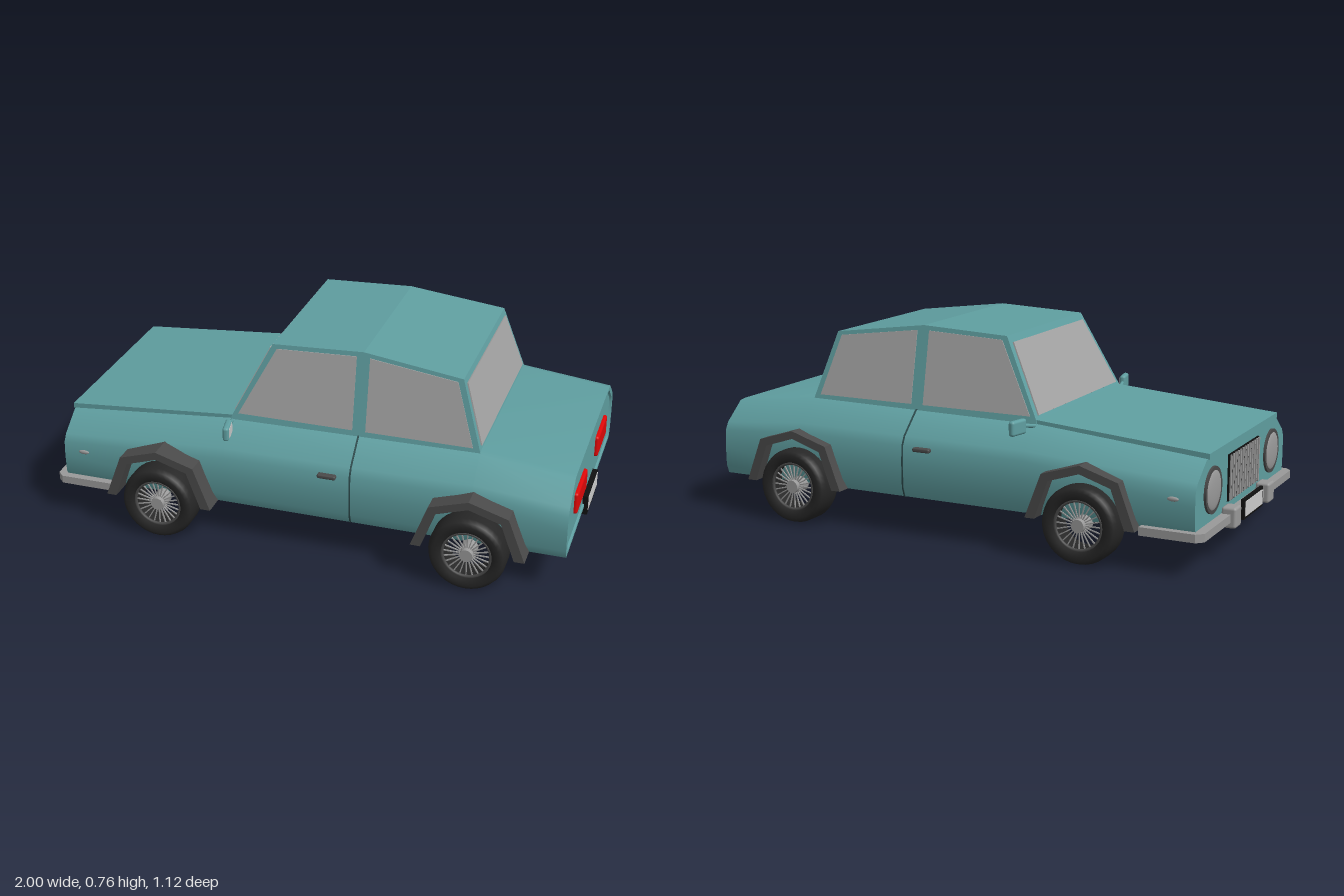
import * as THREE from 'three';
import { toCreasedNormals } from 'three/addons/utils/BufferGeometryUtils.js';
import { RoundedBoxGeometry } from 'three/addons/geometries/RoundedBoxGeometry.js';

const mat = (color) => new THREE.MeshStandardMaterial({ color });
const paint = mat(0x5f9ea0), seamPaint = mat(0x2c4a4c), glass = mat(0xa3a3a3), chrome = mat(0x999999);
const trim = mat(0x4a4a4a), rubber = mat(0x262626), black = mat(0x111111), red = mat(0xdd0808), pale = mat(0xcccccc);

function add(parent, name, geometry, material, x = 0, y = 0, z = 0) {
  const mesh = new THREE.Mesh(geometry, material);
  mesh.name = name;
  mesh.position.set(x, y, z);
  parent.add(mesh);
  return mesh;
}
const box = (w, h, d) => new THREE.BoxGeometry(w, h, d);
const shapeOf = (pts) => new THREE.Shape(pts.map(([x, y]) => new THREE.Vector2(x, y)));

// Half cross-section of the lower body: [half width, height fraction]
const FLOOR = 0.145;
const HALF = [[0.475, 0], [0.488, 0.12], [0.49, 0.4], [0.487, 0.62], [0.47, 0.73], [0.385, 0.985], [0.36, 1]];
const SECTION = [...HALF, ...HALF.slice().reverse().map(([w, t]) => [-w, t])];

// Loft the section through stations [x, top height, scale] and cap both ends
function loft(stations) {
  const n = SECTION.length, pos = [], idx = [];
  for (const [x, top, s] of stations) {
    const mid = (FLOOR + top) / 2;
    for (const [w, t] of SECTION) {
      const y = FLOOR + t * (top - FLOOR);
      pos.push(x, mid + (y - mid) * s, w * (1 - (1 - s) * 0.7));
    }
  }
  for (let i = 0; i < stations.length - 1; i++)
    for (let j = 0; j < n; j++) {
      const a = i * n + j, b = i * n + (j + 1) % n;
      idx.push(a, a + n, b, b, a + n, b + n);
    }
  const last = stations.length - 1;
  for (const i of [0, last]) {
    const c = pos.length / 3;
    pos.push(stations[i][0], (FLOOR + stations[i][1]) / 2, 0);
    for (let j = 0; j < n; j++) {
      const a = i * n + j, b = i * n + (j + 1) % n;
      idx.push(c, ...(i === 0 ? [a, b] : [b, a]));
    }
  }
  const g = new THREE.BufferGeometry();
  g.setAttribute('position', new THREE.Float32BufferAttribute(pos, 3));
  g.setIndex(idx);
  return toCreasedNormals(g, 0.65);
}

// Side profile spread across the car, with sides leaning inwards as they rise
function cabinSlab(pts, grow) {
  const g = new THREE.ExtrudeGeometry(shapeOf(pts), { depth: 1, bevelEnabled: false });
  const p = g.attributes.position;
  for (let i = 0; i < p.count; i++) {
    const h = 0.38 - 0.2 * (p.getY(i) - 0.455) + grow;
    p.setZ(i, p.getZ(i) > 0.5 ? h : -h);
  }
  g.computeVertexNormals();
  return g;
}

// Thin pane lying just outside the line from a to b
function pane([ax, ay], [bx, by]) {
  const d = Math.hypot(bx - ax, by - ay), nx = -(by - ay) / d * 0.005, ny = (bx - ax) / d * 0.005;
  return cabinSlab([[ax, ay], [bx, by], [bx + nx, by + ny], [ax + nx, ay + ny]], -0.024);
}

function makeWheel() {
  const wheel = new THREE.Group();
  wheel.name = 'wheel';
  const profile = [[0.09, -0.045], [0.098, -0.056], [0.122, -0.06], [0.135, -0.052], [0.142, -0.032], [0.142, 0.032],
    [0.135, 0.052], [0.122, 0.06], [0.098, 0.056], [0.09, 0.045], [0.09, -0.045]];
  const tyre = new THREE.LatheGeometry(profile.map(([r, y]) => new THREE.Vector2(r, y)), 36);
  add(wheel, 'tyre', tyre.rotateX(Math.PI / 2), rubber);
  add(wheel, 'rim', new THREE.TorusGeometry(0.089, 0.006, 8, 36), trim, 0, 0, 0.044);
  for (let i = 0; i < 24; i++) {
    const spoke = add(wheel, 'spoke', box(0.066, 0.004, 0.005).translate(0.055, 0, 0), chrome, 0, 0, 0.035);
    spoke.rotation.z = i * Math.PI / 12;
  }
  add(wheel, 'hub', new THREE.CylinderGeometry(0.024, 0.03, 0.07, 20).rotateX(Math.PI / 2), chrome, 0, 0, 0.018);
  return wheel;
}

export function createModel() {
  const car = new THREE.Group();
  car.name = 'car';
  const shell = new THREE.Group();
  shell.name = 'shell';
  shell.position.z = -0.013;
  car.add(shell);

  // Lower body with a recessed tail panel, hood lid and door seam
  add(shell, 'lowerBody', loft([[-0.945, 0.392, 1], [-0.3, 0.45, 1], [0.64, 0.46, 1], [0.985, 0.42, 1],
    [0.985, 0.42, 0.92], [0.977, 0.42, 0.9]]), paint);
  const lid = shapeOf([[-0.952, 0.388], [-0.3, 0.44], [-0.3, 0.461], [-0.952, 0.408]]);
  add(shell, 'hood', new THREE.ExtrudeGeometry(lid, { depth: 0.752, bevelEnabled: false }).translate(0, 0, -0.376), paint);
  add(shell, 'doorSeam', loft([[0.187, 0.457, 1.006], [0.193, 0.457, 1.006]]), seamPaint);

  // Cabin and glass
  add(shell, 'cabin', cabinSlab([[-0.305, 0.44], [0.645, 0.44], [0.64, 0.46], [0.56, 0.712], [0.19, 0.76],
    [-0.155, 0.745], [-0.3, 0.46]], 0), paint);
  add(shell, 'frontSideWindows', cabinSlab([[-0.275, 0.472], [0.165, 0.472], [0.165, 0.742], [-0.138, 0.73]], 0.003), glass);
  add(shell, 'rearSideWindows', cabinSlab([[0.215, 0.472], [0.613, 0.472], [0.541, 0.7], [0.215, 0.741]], 0.003), glass);
  add(shell, 'windscreen', pane([-0.294, 0.472], [-0.168, 0.72]), glass);
  add(shell, 'rearWindow', pane([0.567, 0.69], [0.636, 0.473]), glass);

  // Nose: grille and plate
  add(shell, 'grilleBack', box(0.012, 0.17, 0.33), black, -0.946, 0.275, 0);
  for (let i = 0; i < 13; i++) add(shell, 'grilleBar', box(0.014, 0.165, 0.01), chrome, -0.95, 0.275, (i - 6) * 0.026);
  add(shell, 'frontPlateFrame', box(0.012, 0.075, 0.215), black, -0.985, 0.15, 0);
  add(shell, 'frontPlate', box(0.004, 0.055, 0.19), pale, -0.992, 0.15, 0);

  // Front bumper wrapping round both corners
  const bumper = shapeOf([[-0.75, 0.51], [-0.955, 0.51], [-0.98, 0.485], [-0.98, -0.485], [-0.955, -0.51], [-0.75, -0.51],
    [-0.75, -0.47], [-0.94, -0.47], [-0.94, 0.47], [-0.75, 0.47]]);
  add(shell, 'frontBumper', new THREE.ExtrudeGeometry(bumper, { depth: 0.03, bevelEnabled: false })
    .rotateX(-Math.PI / 2), chrome, 0, 0.13, 0);

  // Tail plate
  add(shell, 'rearPlateFrame', box(0.02, 0.076, 0.218), black, 0.988, 0.152, 0);
  add(shell, 'rearPlate', box(0.004, 0.056, 0.196), pale, 0.998, 0.157, 0);

  // Parts repeated on both sides
  for (const side of [1, -1]) {
    const half = new THREE.Group();
    half.name = side > 0 ? 'leftDetails' : 'rightDetails';
    half.scale.z = side;
    shell.add(half);
    add(half, 'headlightRing', new THREE.CylinderGeometry(0.084, 0.084, 0.014, 32).rotateZ(Math.PI / 2), trim, -0.946, 0.27, 0.325);
    add(half, 'headlight', new THREE.SphereGeometry(0.073, 28, 14).scale(0.16, 1, 1), chrome, -0.95, 0.27, 0.325);
    add(half, 'bumperGuard', new RoundedBoxGeometry(0.055, 0.076, 0.066, 2, 0.01), chrome, -0.972, 0.146, 0.19);
    add(half, 'tailLight', new RoundedBoxGeometry(0.024, 0.085, 0.202, 2, 0.01), red, 0.979, 0.277, 0.223);
    add(half, 'sideMarker', new THREE.SphereGeometry(0.022, 16, 8).scale(1, 0.4, 0.3), chrome, -0.865, 0.267, 0.488);
    add(half, 'doorHandle', new RoundedBoxGeometry(0.07, 0.016, 0.025, 2, 0.006), trim, 0.105, 0.332, 0.493);

    const mirror = new THREE.Group();
    mirror.name = 'mirror';
    mirror.position.set(-0.278, 0.453, 0.483);
    mirror.rotation.y = 0.2;
    half.add(mirror);
    add(mirror, 'mirrorHousing', new RoundedBoxGeometry(0.024, 0.055, 0.082, 2, 0.01), paint);
    add(mirror, 'mirrorGlass', box(0.004, 0.038, 0.062), pale, 0.011, 0, 0);
    const stalk = add(mirror, 'mirrorStalk', new THREE.CylinderGeometry(0.007, 0.007, 0.09, 8), paint, 0, -0.006, -0.07);
    stalk.rotation.x = Math.PI / 2 - 0.18;
  }

  // Wheels and faceted arches
  const arch = shapeOf([[-0.208, 0.145], [-0.145, 0.31], [0, 0.355], [0.145, 0.31], [0.208, 0.145],
    [0.17, 0.145], [0.118, 0.287], [0, 0.325], [-0.118, 0.287], [-0.17, 0.145]]);
  for (const x of [-0.537, 0.645])
    for (const side of [1, -1]) {
      const corner = new THREE.Group();
      corner.name = (x < 0 ? 'front' : 'rear') + (side > 0 ? 'Left' : 'Right') + 'Corner';
      corner.position.x = x;
      corner.scale.z = side;
      car.add(corner);
      const wheel = makeWheel();
      wheel.position.set(0, 0.142, 0.502);
      corner.add(wheel);
      add(corner, 'wheelArch', new THREE.ExtrudeGeometry(arch, { depth: 0.125, bevelEnabled: false }), trim, 0, 0, 0.42);
    }
  return car;
}
